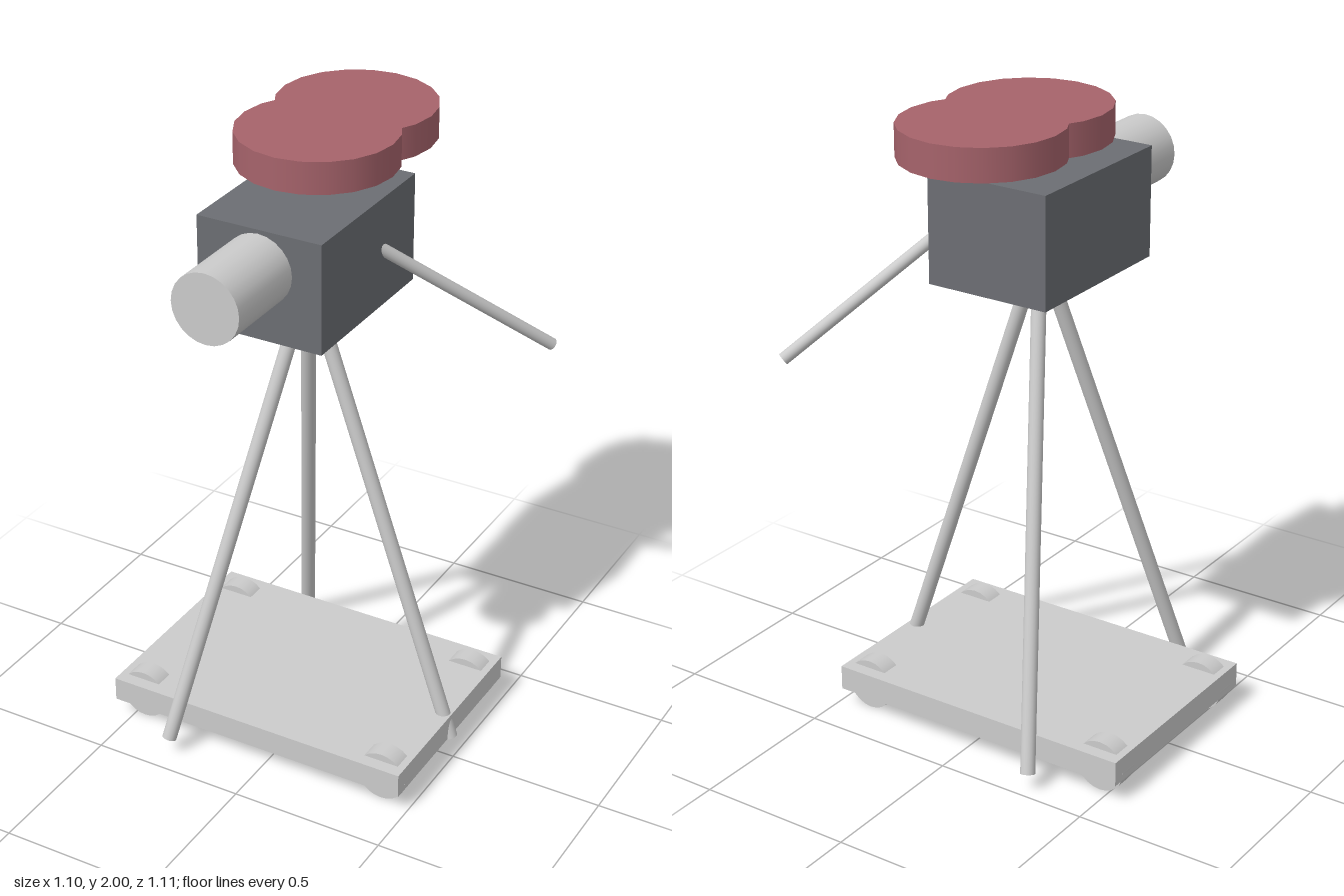
import * as THREE from 'three';

const grey = new THREE.MeshStandardMaterial({ color: 0xcccccc });
const bodyGrey = new THREE.MeshStandardMaterial({ color: 0x6c6e73 });
const red = new THREE.MeshStandardMaterial({ color: 0xa6636b });

const AXIS_X = -0.035; // shared centre line of body, lens, reels and tripod

export function createModel() {
  const model = new THREE.Group();
  model.name = 'studioCamera';

  const add = (name, geometry, material, x, y, z) => {
    const mesh = new THREE.Mesh(geometry, material);
    mesh.name = name;
    mesh.position.set(x, y, z);
    model.add(mesh);
    return mesh;
  };

  // Straight round rod between two points
  const rod = (name, from, to, radius) => {
    const dir = to.clone().sub(from);
    const mid = from.clone().add(to).multiplyScalar(0.5);
    const mesh = add(name, new THREE.CylinderGeometry(radius, radius, dir.length(), 20), grey, mid.x, mid.y, mid.z);
    mesh.quaternion.setFromUnitVectors(new THREE.Vector3(0, 1, 0), dir.normalize());
  };

  // Round drum lying along z
  const drum = (name, radius, length, x, y, z) => {
    const geometry = new THREE.CylinderGeometry(radius, radius, length, 24).rotateX(Math.PI / 2);
    add(name, geometry, grey, x, y, z);
  };

  // Dolly platform with four wheels set into it
  add('platform', new THREE.BoxGeometry(1.027, 0.08, 0.718), grey, AXIS_X, 0.1, -0.024);
  for (const sx of [-1, 1]) {
    for (const sz of [-1, 1]) {
      const name = (sz > 0 ? 'front' : 'back') + (sx > 0 ? 'Left' : 'Right') + 'Wheel';
      drum(name, 0.082, 0.062, AXIS_X + sx * 0.432, 0.082, -0.024 + sz * 0.287);
    }
  }

  // Tripod: three legs spread evenly from an apex inside the body
  const apex = new THREE.Vector3(AXIS_X, 1.545, -0.022);
  for (let i = 0; i < 3; i++) {
    const a = (i * Math.PI * 2) / 3;
    const foot = new THREE.Vector3(apex.x + 0.512 * Math.cos(a), 0.057, apex.z + 0.512 * Math.sin(a));
    rod('tripodLeg' + (i + 1), apex, foot, 0.023);
  }

  // Camera body and lens
  add('cameraBody', new THREE.BoxGeometry(0.407, 0.346, 0.56), bodyGrey, AXIS_X, 1.644, -0.017);
  drum('lens', 0.11, 0.287, AXIS_X, 1.696, 0.409);

  // Two overlapping film reels above the body
  const reel = new THREE.CylinderGeometry(0.245, 0.245, 0.1, 20);
  add('frontReel', reel, red, AXIS_X, 1.95, -0.075);
  add('backReel', reel, red, AXIS_X, 1.95, -0.311);

  // Pan handle sloping down, out and back
  rod('panHandle', new THREE.Vector3(0.14, 1.67, -0.088), new THREE.Vector3(0.53, 1.233, -0.538), 0.019);

  return model;
}
